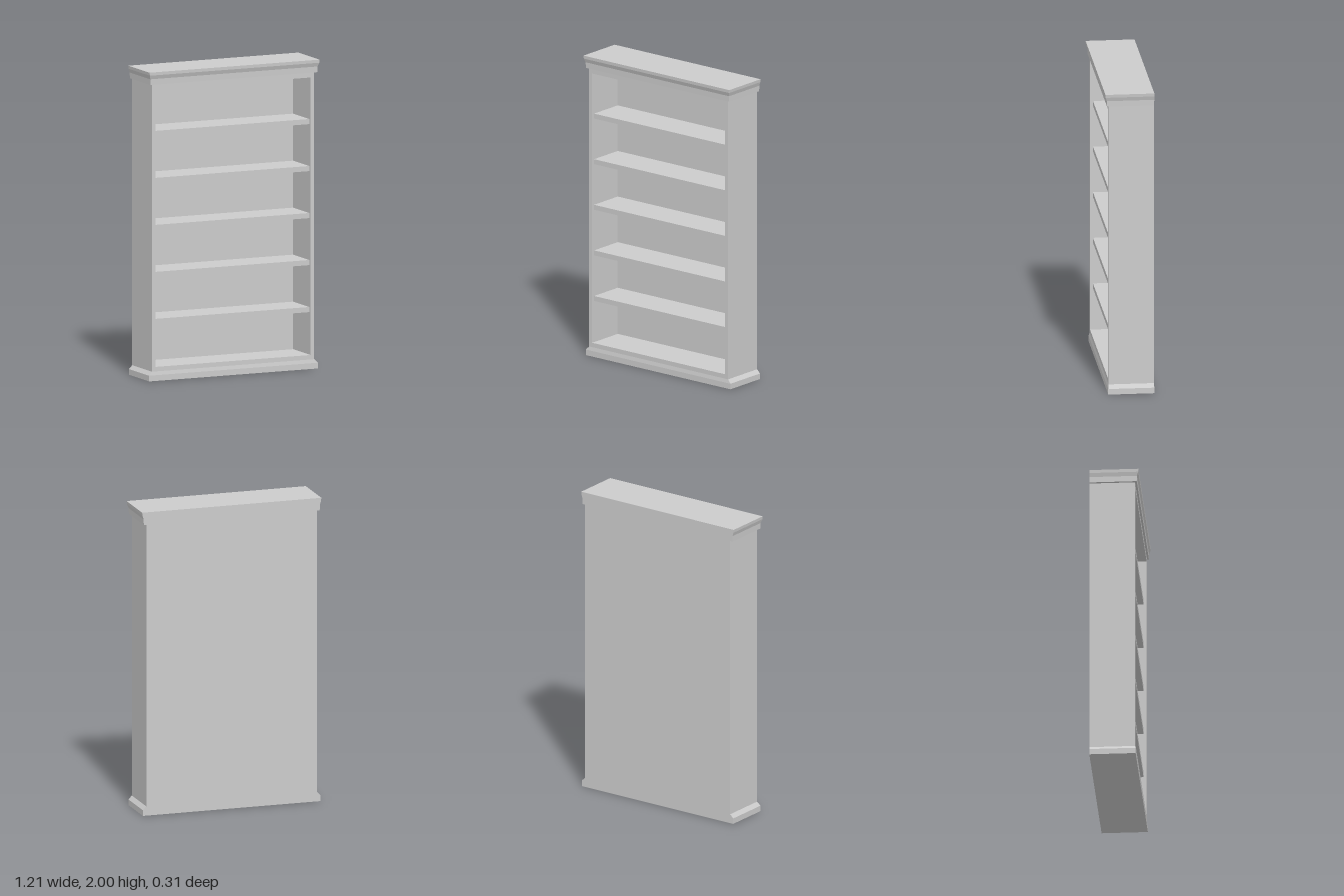
import * as THREE from 'three';

const BACK = -0.156, FRONT = 0.135;
const material = new THREE.MeshStandardMaterial({ color: 0xcccccc, flatShading: true });

function part(name, geometry, x = 0, y = 0, z = 0) {
  const mesh = new THREE.Mesh(geometry, material);
  mesh.name = name;
  mesh.position.set(x, y, z);
  return mesh;
}

// Mitred moulding with a flat back; rows are [half width, front z, height], bottom to top
function moulding(rows) {
  const positions = [];
  const quad = (a, b, c, d) => positions.push(...a, ...b, ...c, ...a, ...c, ...d);
  const rings = rows.map(([w, f, y]) => [[-w, y, f], [w, y, f], [w, y, BACK], [-w, y, BACK]]);
  for (let i = 0; i < rings.length - 1; i++) {
    for (let j = 0; j < 4; j++) {
      const k = (j + 1) % 4;
      quad(rings[i][j], rings[i][k], rings[i + 1][k], rings[i + 1][j]);
    }
  }
  quad(...rings[rings.length - 1]);
  quad(...[...rings[0]].reverse());
  const geometry = new THREE.BufferGeometry();
  geometry.setAttribute('position', new THREE.Float32BufferAttribute(positions, 3));
  geometry.computeVertexNormals();
  return geometry;
}

function rectangle(path, w, y0, y1) {
  path.moveTo(-w, y0);
  path.lineTo(w, y0);
  path.lineTo(w, y1);
  path.lineTo(-w, y1);
  path.closePath();
  return path;
}

export function createModel() {
  const group = new THREE.Group();
  group.name = 'bookcase';
  const innerBack = -0.122, opening = 0.55;

  // Sides, top rail and floor as one frame
  const outline = rectangle(new THREE.Shape(), 0.575, 0.06, 1.918);
  outline.holes.push(rectangle(new THREE.Path(), opening, 0.09, 1.885));
  const frame = new THREE.ExtrudeGeometry(outline, { depth: FRONT - innerBack, bevelEnabled: false });
  group.add(part('carcass', frame, 0, 0, innerBack));

  // Back panel
  const thickness = innerBack - BACK;
  group.add(part('backPanel', new THREE.BoxGeometry(1.15, 1.858, thickness), 0, 0.989, BACK + thickness / 2));

  // Shelves, set back slightly from the front
  const shelfFront = 0.116;
  const shelf = new THREE.BoxGeometry(opening * 2, 0.033, shelfFront - innerBack);
  for (let i = 0; i < 5; i++) {
    group.add(part(`shelf${i + 1}`, shelf, 0, 0.381 + i * 0.304, (shelfFront + innerBack) / 2));
  }

  // Plinth with sloped top edge
  group.add(part('plinth', moulding([
    [0.598, 0.14, 0], [0.598, 0.14, 0.037], [0.575, FRONT, 0.061],
  ])));

  // Flared crown
  group.add(part('crown', moulding([
    [0.592, 0.147, 1.918], [0.593, 0.148, 1.955], [0.601, 0.157, 1.98], [0.603, 0.158, 2],
  ])));
  return group;
}
